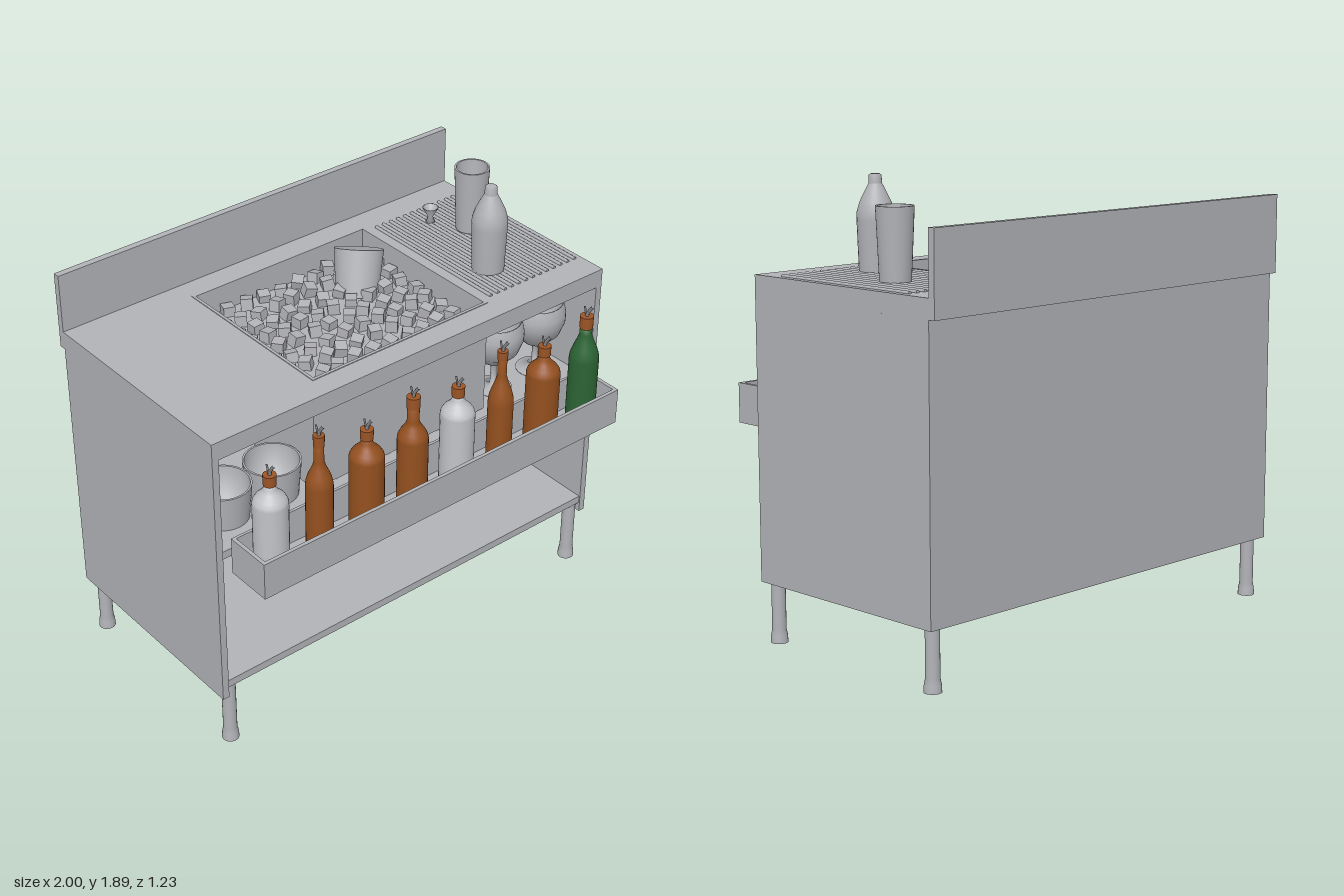
import * as THREE from 'three';

const mat = (name, color, side = THREE.FrontSide) => {
  const m = new THREE.MeshStandardMaterial({ color, side });
  m.name = name;
  return m;
};

export function createModel() {
  const root = new THREE.Group();
  root.name = 'barStation';
  const steel = mat('steel', 0xb2b3b7);
  const sheet = mat('thin steel', 0xb2b3b7, THREE.DoubleSide);
  const clear = mat('clear glass', 0xc2c3c7, THREE.DoubleSide);
  const amber = mat('amber glass', 0x94501f, THREE.DoubleSide);
  const green = mat('green glass', 0x2c6434, THREE.DoubleSide);
  const cork = mat('cork', 0x9c5526);
  const spoutMat = mat('spout metal', 0x8c8d91);

  const add = (name, geo, material, x = 0, y = 0, z = 0, parent = root) => {
    const m = new THREE.Mesh(geo, material);
    m.name = name;
    m.position.set(x, y, z);
    parent.add(m);
    return m;
  };
  // Box given by its limits on each axis
  const box = (name, x0, x1, y0, y1, z0, z1, material = steel) =>
    add(name, new THREE.BoxGeometry(x1 - x0, y1 - y0, z1 - z0), material,
      (x0 + x1) / 2, (y0 + y1) / 2, (z0 + z1) / 2);
  // Lathe that keeps corners sharp where a point is repeated
  const lathe = (pts, seg = 28) =>
    new THREE.LatheGeometry(pts.map(([r, y]) => new THREE.Vector2(r, y)), seg);

  // Cabinet carcass
  for (const s of [-1, 1]) box('sidePanel', s > 0 ? 0.97 : -1, s > 0 ? 1 : -0.97, 0.255, 1.42, -0.585, 0.41);
  box('backPanel', -0.97, 0.97, 0.255, 1.42, -0.585, -0.56);
  box('floorPanel', -0.97, 0.97, 0.3, 0.335, -0.56, 0.405);
  box('middleShelf', -0.97, 0.97, 0.935, 0.97, -0.56, 0.39);
  box('backsplash', -1, 1, 1.42, 1.755, -0.615, -0.585);

  // Worktop with the opening for the ice bin
  const rect = (S, x0, x1, y0, y1) => {
    const p = new S();
    p.moveTo(x0, y0); p.lineTo(x1, y0); p.lineTo(x1, y1); p.lineTo(x0, y1); p.closePath();
    return p;
  };
  const top = rect(THREE.Shape, -1, 1, -0.41, 0.585);
  top.holes.push(rect(THREE.Path, -0.45, 0.45, -0.31, 0.485));
  const topGeo = new THREE.ExtrudeGeometry(top, { depth: 0.08, bevelEnabled: false });
  topGeo.rotateX(-Math.PI / 2);
  add('worktop', topGeo, steel, 0, 1.42, 0);

  // Ice bin walls and ice bed
  for (const s of [-1, 1]) box('binSide', s > 0 ? 0.437 : -0.45, s > 0 ? 0.45 : -0.437, 1, 1.503, -0.485, 0.31);
  box('binFront', -0.437, 0.437, 1, 1.503, 0.297, 0.31);
  box('binBack', -0.437, 0.437, 1, 1.503, -0.485, -0.472);
  box('binBottom', -0.45, 0.45, 0.985, 1, -0.485, 0.31);
  box('iceBed', -0.437, 0.437, 1.36, 1.385, -0.472, 0.297);

  // Ice cubes, loosely scattered on a grid
  let seed = 7;
  const rnd = () => (seed = (seed * 16807) % 2147483647) / 2147483647 - 0.5;
  const cube = new THREE.BoxGeometry(0.05, 0.05, 0.05);
  for (let i = 0; i < 10; i++) for (let j = 0; j < 9; j++) {
    const x = -0.395 + i * 0.088 + rnd() * 0.02;
    const z = -0.43 + j * 0.086 + rnd() * 0.02;
    add('iceCube', cube, steel, x, 1.402 + rnd() * 0.016, z)
      .rotation.set(rnd() * 0.4, rnd() * 2.4, rnd() * 0.4);
  }

  // Tilted cup standing in the ice
  add('iceCup', new THREE.CylinderGeometry(0.105, 0.09, 0.2, 32), steel, 0.25, 1.45, -0.275)
    .quaternion.setFromUnitVectors(new THREE.Vector3(0, 1, 0), new THREE.Vector3(0.3, 0.9, -0.3).normalize());

  // Drainer rods
  const rod = new THREE.CylinderGeometry(0.008, 0.008, 0.73, 8).rotateX(Math.PI / 2);
  for (let i = 0; i < 13; i++) add('drainerRod', rod, steel, 0.495 + i * 0.0392, 1.502, -0.085);

  // Shaker bottle, tumbler and jigger on the drainer
  add('shakerBottle', lathe([[0, 0], [0.068, 0], [0.068, 0], [0.075, 0.2], [0.074, 0.235], [0.062, 0.275],
    [0.04, 0.32], [0.027, 0.345], [0.027, 0.345], [0.025, 0.378], [0.018, 0.383], [0, 0.383]]), steel, 0.63, 1.508, 0.11);
  add('tumbler', lathe([[0, 0], [0.062, 0], [0.062, 0], [0.075, 0.288], [0.075, 0.288],
    [0.067, 0.288], [0.067, 0.288], [0.056, 0.012], [0, 0.012]], 32), sheet, 0.8, 1.508, -0.19);
  add('jigger', lathe([[0, 0], [0.02, 0], [0.011, 0.025], [0.035, 0.068], [0.03, 0.068], [0.006, 0.03], [0, 0.03]]),
    sheet, 0.7, 1.508, -0.335);

  // Legs with flared feet
  const leg = lathe([[0, 0], [0.036, 0], [0.036, 0], [0.034, 0.03], [0.029, 0.055], [0.029, 0.3]], 20);
  for (const x of [-0.945, 0.945]) for (const z of [-0.535, 0.37]) add('leg', leg, steel, x, 0, z);

  // Speed rail trough
  box('railFront', -0.93, 0.93, 0.87, 1.035, 0.602, 0.618);
  box('railBack', -0.93, 0.93, 0.87, 1.035, 0.41, 0.422);
  box('railBottom', -0.914, 0.914, 0.87, 0.885, 0.422, 0.602);
  for (const s of [-1, 1]) box('railEnd', s > 0 ? 0.914 : -0.93, s > 0 ? 0.93 : -0.914, 0.87, 1.035, 0.422, 0.602);

  // Rail bottles: radius, shoulder start, shoulder end, neck radius, neck top, stopper top
  const squat = [0.071, 1.215, 1.285, 0.024, 1.3, 1.345];
  const slim = [0.055, 1.19, 1.3, 0.02, 1.37, 1.42];
  const tall = [0.063, 1.2, 1.28, 0.025, 1.345, 1.395];
  const long = [0.053, 1.17, 1.3, 0.019, 1.375, 1.415];
  const wine = [0.063, 1.19, 1.31, 0.026, 1.34, 1.395];
  const bottles = [[squat, clear], [slim, amber], [squat, amber], [tall, amber],
    [squat, clear], [long, amber], [squat, amber], [wine, green]];
  bottles.forEach(([[r, s0, s1, n, neckTop, stopTop], material], i) => {
    const g = new THREE.Group();
    g.name = 'railBottle';
    g.position.set(-0.818 + i * 0.2335, 0, 0.515);
    root.add(g);
    const h = s1 - s0;
    add('bottleGlass', lathe([[0, 0.886], [r, 0.886], [r, 0.886], [r, s0], [r * 0.95, s0 + h * 0.2],
      [r * 0.8, s0 + h * 0.45], [n + (r - n) * 0.25, s0 + h * 0.75], [n, s1], [n, neckTop], [0, neckTop]]),
      material, 0, 0, 0, g);
    const k = stopTop - neckTop;
    add('stopper', new THREE.CylinderGeometry(n + 0.003, n + 0.002, k, 20), cork, 0, (neckTop + stopTop) / 2, 0, g);
    const path = new THREE.CatmullRomCurve3([new THREE.Vector3(0, stopTop - 0.01, 0),
      new THREE.Vector3(0, stopTop + 0.015, 0.004), new THREE.Vector3(0, stopTop + 0.055, 0.03)]);
    add('pourSpout', new THREE.TubeGeometry(path, 8, 0.007, 8), spoutMat, 0, 0, 0, g);
    add('airTube', new THREE.CylinderGeometry(0.004, 0.004, 0.04, 8), spoutMat, 0, stopTop + 0.018, -0.01, g)
      .rotation.x = -0.3;
  });

  // Glassware on the middle shelf
  const cup = lathe([[0, 0], [0.105, 0], [0.105, 0], [0.118, 0.155], [0.118, 0.155],
    [0.11, 0.155], [0.11, 0.155], [0.098, 0.015], [0, 0.015]], 32);
  const goblet = lathe([[0, 0], [0.08, 0], [0.08, 0.008], [0.014, 0.02], [0.012, 0.12], [0.05, 0.14],
    [0.1, 0.19], [0.122, 0.25], [0.122, 0.29], [0.112, 0.338], [0.106, 0.338], [0.115, 0.28],
    [0.095, 0.2], [0.045, 0.15], [0, 0.145]], 32);
  for (const x of [-0.815, -0.573]) add('lowGlass', cup, sheet, x, 0.97, 0.2);
  for (const x of [0.603, 0.843]) add('stemGlass', goblet, sheet, x, 0.97, 0.2);

  return root;
}
